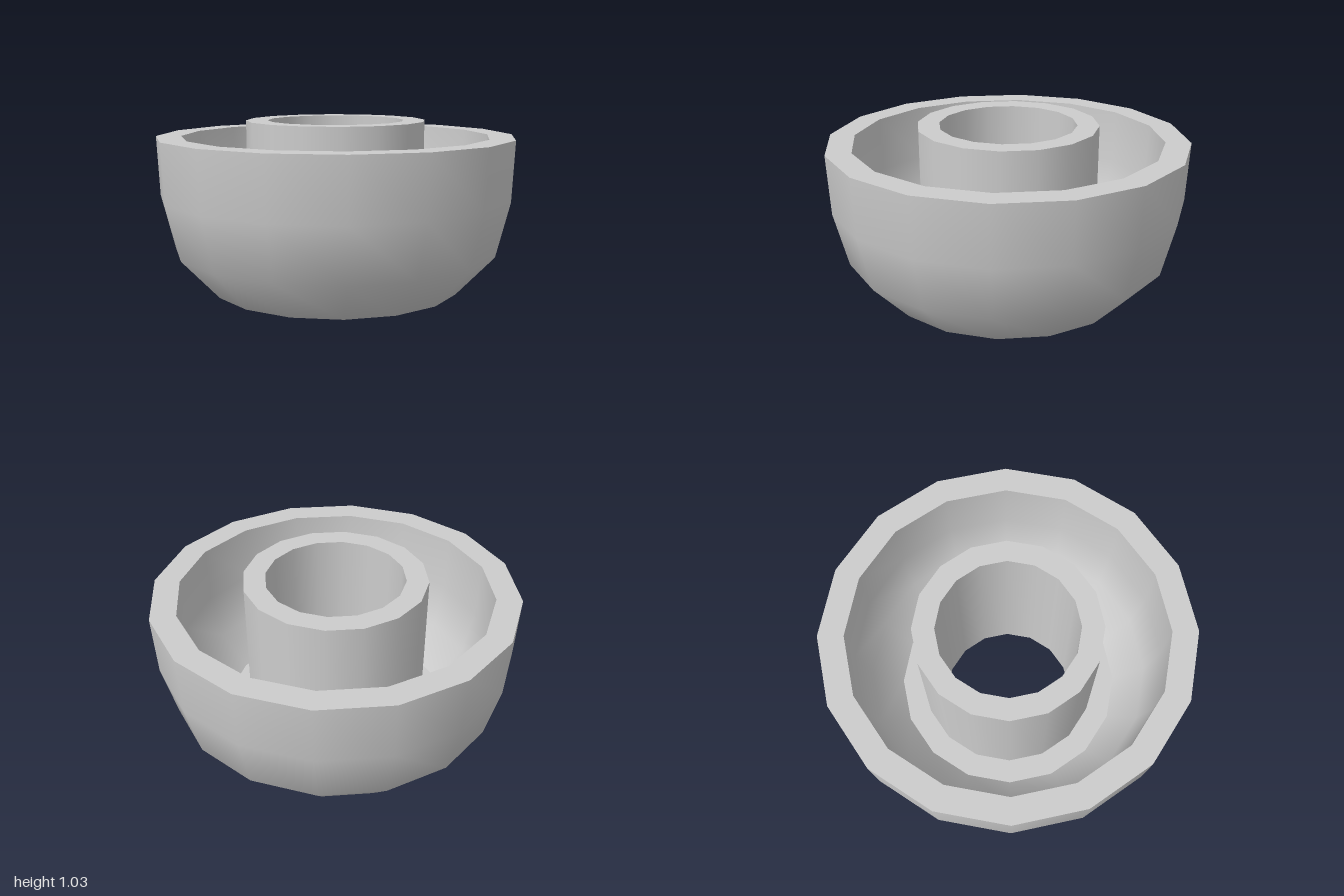
import * as THREE from 'three';

const SIDES = 16;

export function createModel() {
  const group = new THREE.Group();
  group.name = 'ringBowl';

  const grey = new THREE.MeshStandardMaterial({ color: 0xcccccc });
  grey.name = 'lightGrey';

  // Each surface is its own lathe, so it is smooth inside and sharp at its borders.
  // Profiles run counter-clockwise around the solid section, as [radius, height].
  const addSurface = (name, profile) => {
    const points = profile.map(([r, y]) => new THREE.Vector2(r, y));
    const mesh = new THREE.Mesh(new THREE.LatheGeometry(points, SIDES), grey);
    mesh.name = name;
    group.add(mesh);
  };

  const bore = 0.38, tube = 0.5, floorRadius = 0.63, rimInner = 0.86;
  const floorY = 0.21, rimY = 0.95, topY = 1.035;

  // Bowl
  addSurface('bowlOutside', [[bore, 0], [0.7, 0.09], [0.91, 0.315], [0.985, 0.62], [1, rimY]]);
  addSurface('bowlRim', [[1, rimY], [rimInner, rimY]]);
  addSurface('bowlInside', [[rimInner, rimY], [0.85, 0.64], [0.79, 0.385], [floorRadius, floorY]]);
  addSurface('bowlFloor', [[floorRadius, floorY], [tube, floorY]]);

  // Central tube, open from top to bottom
  addSurface('tubeOutside', [[tube, floorY], [tube, topY]]);
  addSurface('tubeRim', [[tube, topY], [bore, topY]]);
  addSurface('tubeBore', [[bore, topY], [bore, 0]]);

  return group;
}
